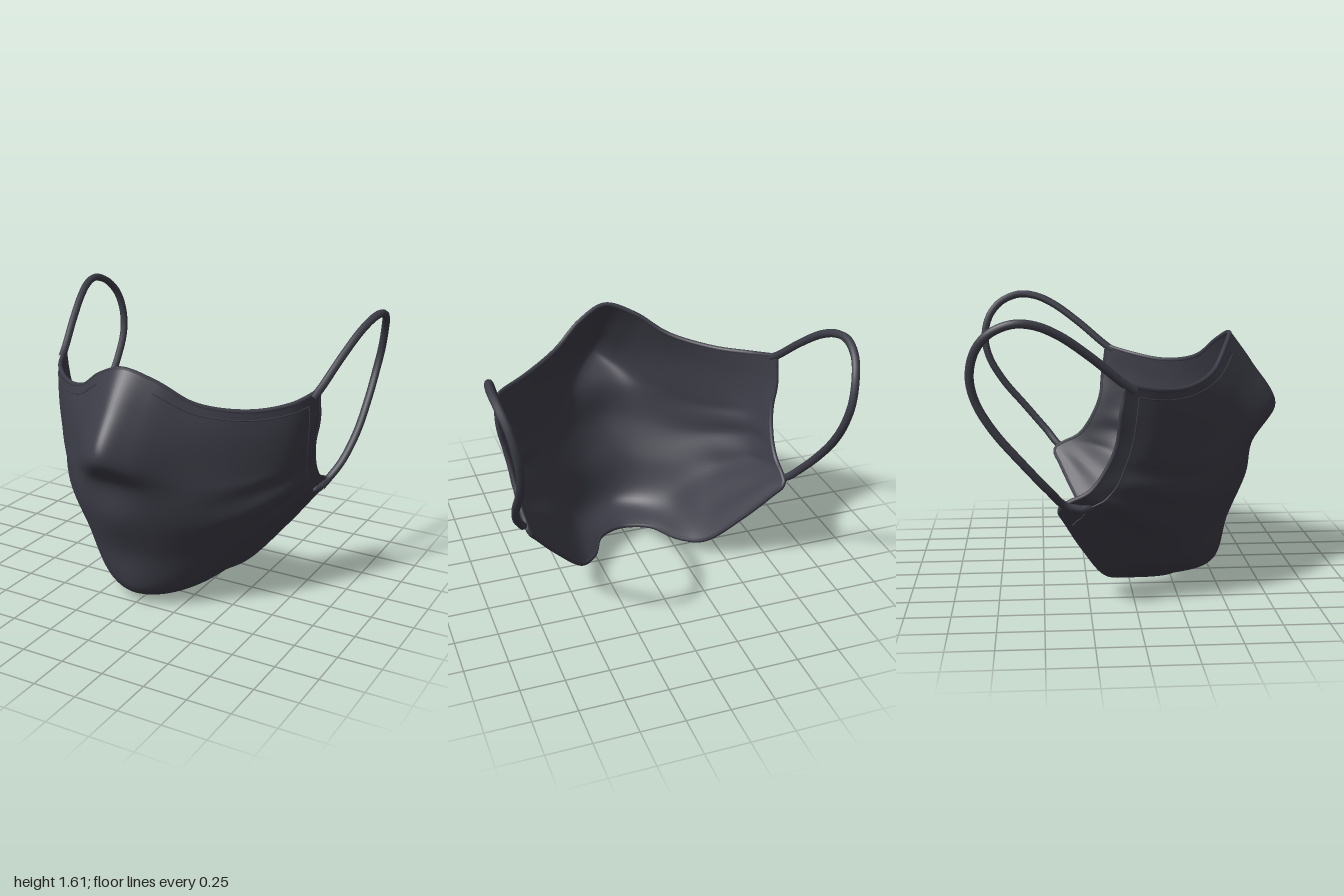
import * as THREE from 'three';

const V = (x, y, z) => new THREE.Vector3(x, y, z);
const smooth = THREE.MathUtils.smoothstep;

// Cross-sections of the left half, top edge to chin edge, each from the centre line to the side
const ROWS = [
  [[0, 1.45, .605], [.18, 1.385, .555], [.36, 1.265, .46], [.59, 1.21, .29], [.765, 1.225, .11], [.85, 1.265, -.06]],
  [[0, 1.27, .735], [.15, 1.22, .67], [.34, 1.12, .535], [.58, 1.06, .32], [.77, 1.07, .11], [.85, 1.1, -.09]],
  [[0, 1.02, .88], [.13, .985, .8], [.31, .93, .6], [.58, .9, .325], [.775, .92, .08], [.82, .94, -.11]],
  [[0, .83, .74], [.17, .81, .705], [.34, .8, .575], [.58, .77, .325], [.755, .78, .06], [.8, .785, -.18]],
  [[0, .62, .71], [.17, .61, .66], [.36, .6, .53], [.57, .6, .3], [.735, .64, .02], [.795, .685, -.26]],
  [[0, .37, .6], [.17, .37, .565], [.37, .39, .42], [.57, .45, .18], [.7, .54, -.09], [.79, .635, -.36]],
  [[0, .09, .52], [.16, .1, .465], [.33, .15, .31], [.48, .28, .08], [.62, .42, -.16], [.785, .605, -.405]],
  [[0, .014, .3], [.17, .032, .215], [.285, .06, -.01], [.4, .11, -.14], [.59, .33, -.285], [.77, .575, -.41]],
];

const rowCurves = ROWS.map((row) => {
  const half = row.map((p) => V(...p));
  const mirror = half.slice(1).reverse().map((p) => V(-p.x, p.y, p.z));
  return new THREE.CatmullRomCurve3([...mirror, ...half]);
});

// Point on the cloth: u runs right to left, v runs top to bottom, with soft folds at the cheeks
function column(u) {
  const curve = new THREE.CatmullRomCurve3(rowCurves.map((c) => c.getPoint(u)));
  const side = u * 2 - 1, a = Math.abs(side);
  const strength = smooth(a, .35, .75) * (1 - smooth(a, .85, 1));
  return (v) => {
    const p = curve.getPoint(v);
    const band = smooth(v, .3, .5) * (1 - smooth(v, .85, 1));
    const fold = .009 * strength * band * Math.sin((v + .3 * a) * 36);
    return p.add(V(Math.sign(side) * fold * .6, 0, fold * .8));
  };
}

const NU = 88, NV = 64, THICK = .022;

function clothGeometry() {
  const pos = [], index = [];
  for (let i = 0; i <= NU; i++) {
    const at = column(i / NU);
    for (let j = 0; j <= NV; j++) pos.push(...at(j / NV).toArray());
  }
  for (let i = 0; i < NU; i++) {
    for (let j = 0; j < NV; j++) {
      const a = i * (NV + 1) + j, b = a + NV + 1;
      index.push(a, a + 1, b, b, a + 1, b + 1);
    }
  }
  const g = new THREE.BufferGeometry();
  g.setAttribute('position', new THREE.Float32BufferAttribute(pos, 3));
  g.setIndex(index);
  g.computeVertexNormals();
  return g;
}

// Inner layer: the cloth pushed inwards and turned over
function liningGeometry(outer) {
  const g = outer.clone(), p = g.attributes.position, n = outer.attributes.normal;
  for (let k = 0; k < p.count; k++) {
    p.setXYZ(k, p.getX(k) - n.getX(k) * THICK, p.getY(k) - n.getY(k) * THICK, p.getZ(k) - n.getZ(k) * THICK);
  }
  g.setIndex([...outer.index.array].reverse());
  g.computeVertexNormals();
  return g;
}

export function createModel() {
  const model = new THREE.Group();
  model.name = 'faceMask';
  const cloth = new THREE.MeshStandardMaterial({ color: 0x3d3d48 });
  cloth.name = 'charcoal cloth';

  const add = (name, geometry) => {
    const mesh = new THREE.Mesh(geometry, cloth);
    mesh.name = name;
    model.add(mesh);
    return mesh;
  };
  const tube = (name, points, radius, closed = false, segments = 80) =>
    add(name, new THREE.TubeGeometry(new THREE.CatmullRomCurve3(points, closed), segments, radius, 8, closed));

  // Two cloth layers
  const outer = clothGeometry(), lining = liningGeometry(outer);
  add('outerCloth', outer);
  add('lining', lining);

  // Rolled hem around the whole rim, midway between the layers
  const rim = [];
  const rimPoint = (i, j) => {
    const k = i * (NV + 1) + j;
    const inner = V().fromBufferAttribute(lining.attributes.position, k);
    rim.push(V().fromBufferAttribute(outer.attributes.position, k).lerp(inner, .5));
  };
  for (let i = 0; i < NU; i += 2) rimPoint(i, 0);
  for (let j = 0; j < NV; j += 4) rimPoint(NU, j);
  for (let i = NU; i > 0; i -= 2) rimPoint(i, NV);
  for (let j = NV; j > 0; j -= 4) rimPoint(0, j);
  tube('rimHem', rim, .014, true, 320);

  for (const s of [1, -1]) {
    const side = s > 0 ? 'left' : 'right';

    // Top seam, fading out beside the nose and before the corner
    const seam = Array.from({ length: 24 }, (_, k) => column(.5 + s * (.1 + k * .0155))(.045));
    tube(side + 'TopSeam', seam, .004);

    // Side seam, running parallel to the open edge
    const at = column(.5 + s * .46);
    const line = Array.from({ length: 17 }, (_, k) => at(.04 + k * .057));
    tube(side + 'SideSeam', line, .005);

    // Ear loop, from the upper corner over the ear to the lower corner
    const loop = [
      [.83, 1.235, -.02], [.85, 1.285, -.09], [.895, 1.42, -.25], [.937, 1.535, -.41], [.963, 1.588, -.53],
      [.975, 1.597, -.64], [.962, 1.55, -.755], [.935, 1.46, -.83], [.912, 1.33, -.86], [.895, 1.2, -.835],
      [.888, 1.05, -.75], [.88, .87, -.6], [.845, .72, -.47], [.795, .625, -.385], [.785, .6, -.3],
    ].map(([x, y, z]) => V(s * x, y, z));
    tube(side + 'EarLoop', loop, .023, false, 120);

    // Stitched tab where the loop meets the lower corner
    const tab = add(side + 'LoopTab', new THREE.SphereGeometry(1, 16, 10));
    tab.scale.set(.016, .022, .045);
    tab.position.set(s * .78, .6, -.28);
    tab.rotation.y = s * -.3;
  }
  return model;
}
